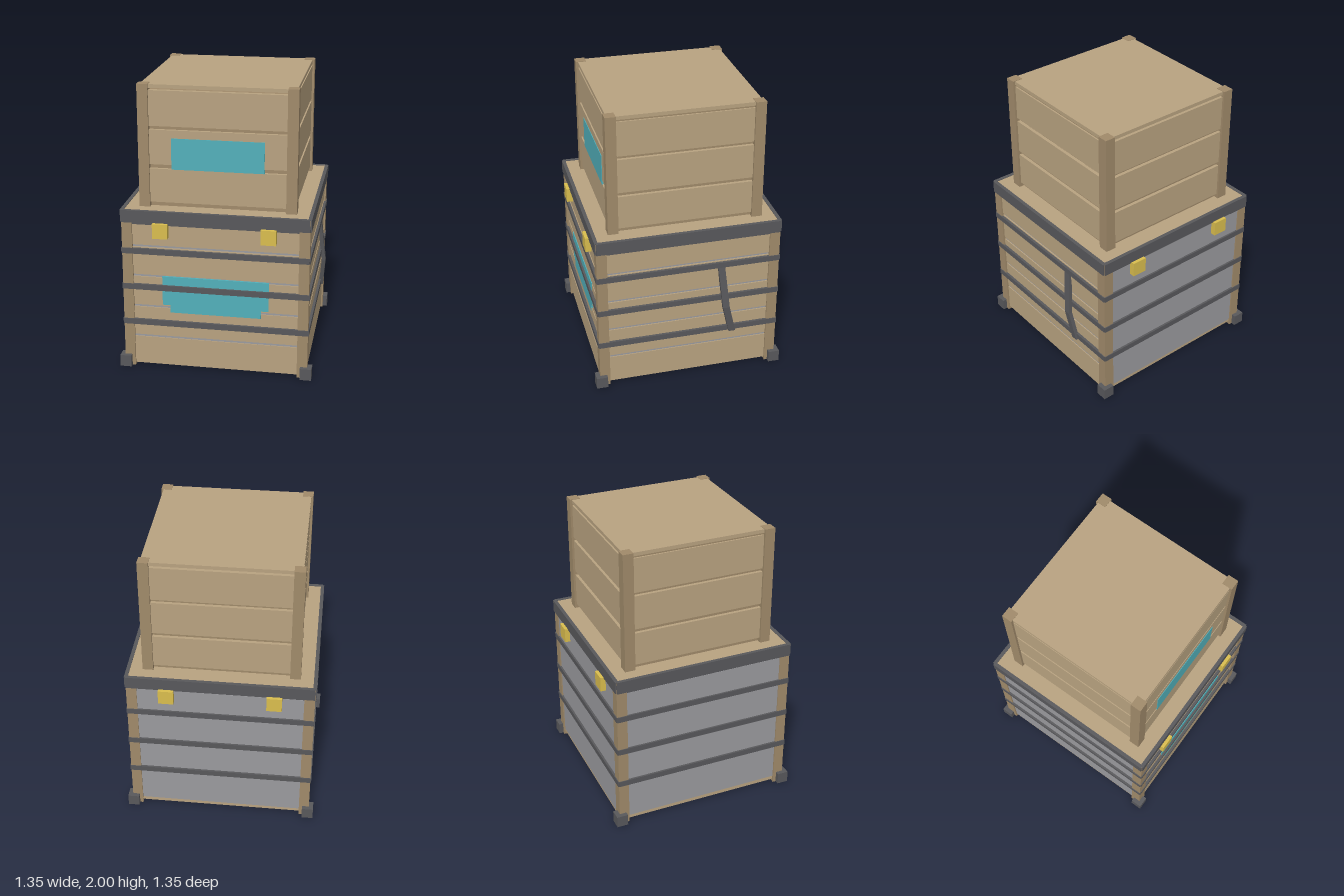
import * as THREE from 'three';

const mat = (color, flat = true) => new THREE.MeshStandardMaterial({ color, flatShading: flat });

export function createModel() {
  const wood = mat(0xb8a280), postWood = mat(0xa08a6a), dark = mat(0x58585b);
  const metal = mat(0x9a9a9e), yellow = mat(0xd9bd4e), teal = mat(0x52b0ba);
  const model = new THREE.Group();
  model.name = 'stackedCrates';

  // box given by its limits on each axis
  function box(parent, name, m, [x0, x1], [y0, y1], [z0, z1]) {
    const mesh = new THREE.Mesh(new THREE.BoxGeometry(x1 - x0, y1 - y0, z1 - z0), m);
    mesh.position.set((x0 + x1) / 2, (y0 + y1) / 2, (z0 + z1) / 2);
    mesh.name = name;
    parent.add(mesh);
    return mesh;
  }

  // same part on the four sides; u runs along the side, d outwards
  function ring(parent, name, m, u, y, d) {
    for (let i = 0; i < 4; i++) {
      const side = new THREE.Group();
      side.name = name + 'Side';
      side.rotation.y = (i * Math.PI) / 2;
      box(side, name, m, u, y, d);
      parent.add(side);
    }
  }

  // same part in the four corners, from inner to outer distance
  function corners(parent, name, m, inner, outer, y) {
    for (const sx of [-1, 1]) for (const sz of [-1, 1]) {
      const span = (s) => (s > 0 ? [inner, outer] : [-outer, -inner]);
      box(parent, name, m, span(sx), y, span(sz));
    }
  }

  // ---- lower crate ----
  const lower = new THREE.Group();
  lower.name = 'lowerCrate';
  lower.position.x = -0.006;
  model.add(lower);

  corners(lower, 'lowerPost', postWood, 0.57, 0.642, [0, 1.15]);
  corners(lower, 'foot', dark, 0.593, 0.673, [0, 0.083]);
  box(lower, 'floor', wood, [-0.62, 0.62], [0.012, 0.04], [-0.62, 0.62]);

  // plank walls with narrow gaps
  const cuts = [0.02, 0.23, 0.457, 0.683, 0.9, 1.07];
  for (let i = 0; i < 5; i++) {
    ring(lower, 'lowerPlank', wood, [-0.61, 0.61], [cuts[i] + 0.008, cuts[i + 1] - 0.008], [0.6, 0.63]);
  }

  // metal liner, slightly askew so it shows on the back and one side
  const liner = box(lower, 'metalLiner', metal, [-0.634, 0.622], [0.05, 1.06], [-0.634, 0.622]);
  liner.rotation.set(-0.004, 0, 0.004);

  // straps around the crate
  for (const y of [0.34, 0.603, 0.865]) {
    ring(lower, 'strap', dark, [-0.642, 0.642], [y - 0.02, y + 0.02], [0.61, 0.648]);
  }

  // lid with its dark rim
  ring(lower, 'lidRim', dark, [-0.64, 0.64], [1.07, 1.157], [0.625, 0.65]);
  ring(lower, 'lidLip', dark, [-0.575, 0.575], [1.055, 1.08], [0.6, 0.634]);
  box(lower, 'lidTop', wood, [-0.632, 0.632], [1.1, 1.153], [-0.632, 0.632]);

  // clips on the front and the back
  for (const x of [-0.37, 0.366]) for (const s of [-1, 1]) {
    box(lower, 'clip', yellow, [x - 0.052, x + 0.052], [0.972, 1.076], s > 0 ? [0.62, 0.673] : [-0.673, -0.62]);
  }

  // front label in two steps
  box(lower, 'lowerLabel', teal, [-0.367, 0.369], [0.475, 0.685], [0.61, 0.634]);
  box(lower, 'lowerLabelFoot', teal, [-0.314, 0.316], [0.42, 0.48], [0.61, 0.634]);

  // bent loose strap: rectangular sections [y, z centre, outer x, inner x]
  const sections = [
    [0.845, -0.228, 0.64, 0.612], [0.53, -0.26, 0.673, 0.645], [0.315, -0.312, 0.654, 0.626],
  ];
  const pos = [], idx = [];
  for (const [y, z, xo, xi] of sections) {
    pos.push(xo, y, z + 0.024, xo, y, z - 0.024, xi, y, z - 0.024, xi, y, z + 0.024);
  }
  for (let s = 0; s < 2; s++) for (let k = 0; k < 4; k++) {
    const a = s * 4 + k, b = s * 4 + ((k + 1) % 4);
    idx.push(a, a + 4, b, b, a + 4, b + 4);
  }
  idx.push(0, 1, 2, 0, 2, 3, 8, 10, 9, 8, 11, 10);
  const looseGeo = new THREE.BufferGeometry();
  looseGeo.setAttribute('position', new THREE.Float32BufferAttribute(pos, 3));
  looseGeo.setIndex(idx);
  looseGeo.computeVertexNormals();
  const looseMat = dark.clone();
  looseMat.side = THREE.DoubleSide;
  const loose = new THREE.Mesh(looseGeo, looseMat);
  loose.name = 'looseStrap';
  model.add(loose);

  // ---- upper crate ----
  const upper = new THREE.Group();
  upper.name = 'upperCrate';
  upper.position.x = -0.005;
  model.add(upper);

  corners(upper, 'upperPost', postWood, 0.465, 0.538, [1.15, 2]);
  box(upper, 'upperCore', postWood, [-0.5, 0.5], [1.15, 1.95], [-0.5, 0.5]);
  for (const [y0, y1] of [[1.185, 1.42], [1.45, 1.69], [1.715, 1.957]]) {
    ring(upper, 'upperPlank', wood, [-0.5, 0.5], [y0, y1], [0.49, 0.523]);
  }
  box(upper, 'upperTop', wood, [-0.523, 0.523], [1.972, 1.997], [-0.523, 0.523]);
  // rails closing the gap under the top on both sides
  for (const s of [-1, 1]) {
    box(upper, 'topRail', postWood, [s * 0.5 - 0.012, s * 0.5 + 0.012], [1.94, 1.975], [-0.48, 0.48]);
  }
  box(upper, 'upperLabel', teal, [-0.314, 0.316], [1.42, 1.635], [0.5, 0.527]);

  return model;
}
